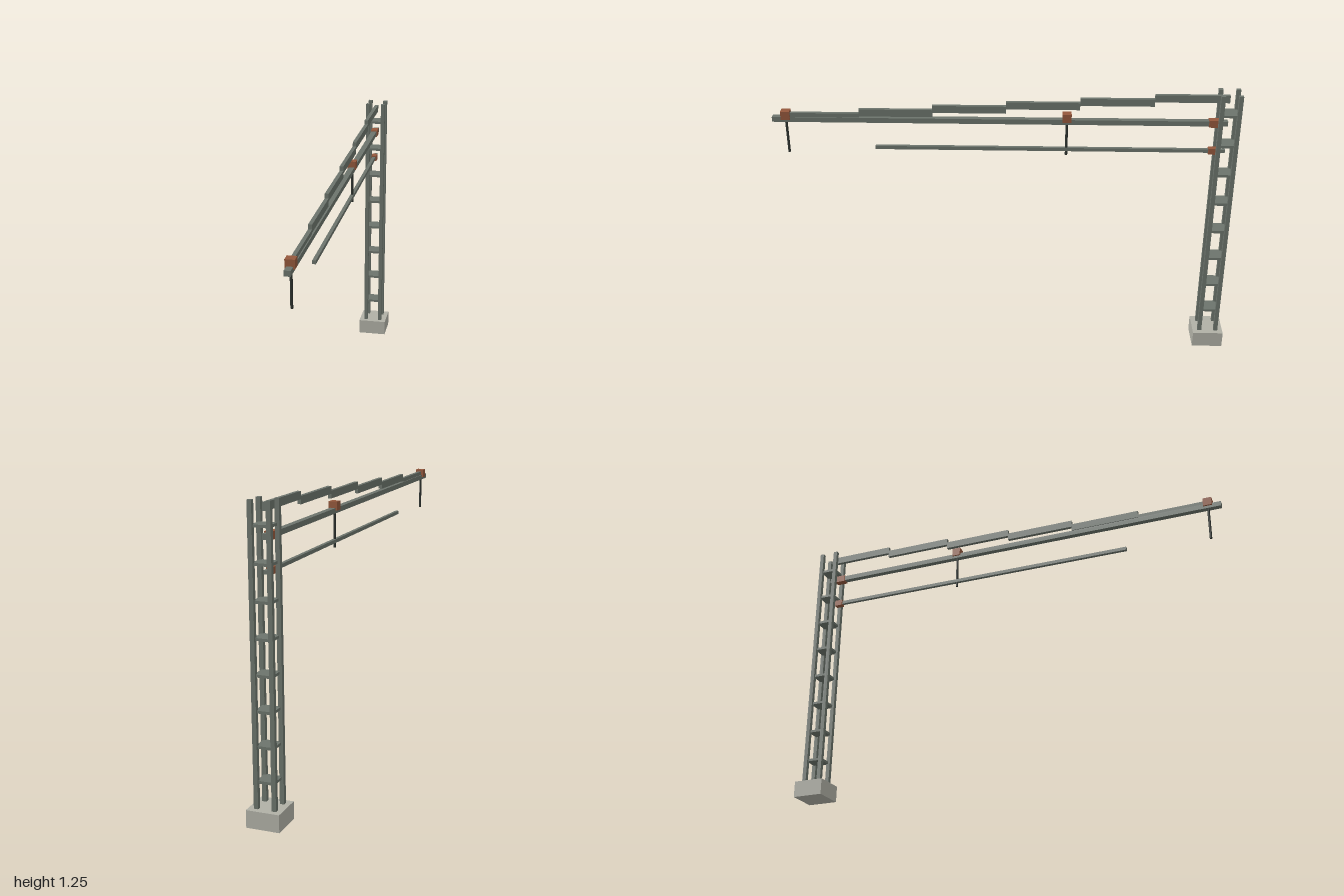
import * as THREE from 'three';

export function createModel() {
  const model = new THREE.Group();
  model.name = 'cantileverMast';
  const steel = new THREE.MeshStandardMaterial({ name: 'grey green steel', color: 0x6c746c });
  const concrete = new THREE.MeshStandardMaterial({ name: 'pale concrete', color: 0xb0b0a6 });
  const ceramic = new THREE.MeshStandardMaterial({ name: 'rust brown ceramic', color: 0x94583c });
  const dark = new THREE.MeshStandardMaterial({ name: 'dark iron', color: 0x2e332f });

  const add = (name, geometry, material, x, y, z) => {
    const mesh = new THREE.Mesh(geometry, material);
    mesh.name = name;
    mesh.position.set(x, y, z);
    model.add(mesh);
  };
  const box = (name, material, w, h, d, x, y, z) =>
    add(name, new THREE.BoxGeometry(w, h, d), material, x, y, z);
  // Beam running along z between two ends
  const beam = (name, w, y0, y1, z0, z1) =>
    box(name, steel, w, y1 - y0, z1 - z0, 0, (y0 + y1) / 2, (z0 + z1) / 2);

  // Footing and four-legged mast
  const mastZ = -0.931, back = -0.929;
  box('footing', concrete, 0.137, 0.072, 0.137, 0, 0.036, mastZ);
  for (const sx of [-1, 1]) for (const sz of [-1, 1]) {
    box('mastLeg', steel, 0.018, 1.176, 0.018, sx * 0.037, 0.659, mastZ + sz * 0.037);
  }
  // Plates tying the legs together
  for (let i = 0; i < 8; i++) {
    box('mastPlate', steel, 0.074, 0.011, 0.074, 0, 0.178 + i * 0.1392, mastZ);
  }

  // Long main arm and lower arm
  beam('mainArm', 0.025, 1.097, 1.119, back, 1);
  beam('lowerArm', 0.015, 0.971, 0.986, back, 0.567);

  // Upper tie, stepping down from the mast to the tip
  const step = (0.941 - back) / 6;
  for (let i = 0; i < 6; i++) {
    const top = 1.234 - i * 0.0195;
    beam('tieSegment', 0.016, top - 0.032, top, back + i * step, back + (i + 1) * step);
  }

  // Insulators where the arms meet the mast
  box('mainArmInsulator', ceramic, 0.031, 0.031, 0.05, 0, 1.108, -0.875);
  box('lowerArmInsulator', ceramic, 0.025, 0.027, 0.038, 0, 0.978, -0.877);

  // Hangers: insulator block with a drop rod
  for (const z of [0.942, -0.252]) {
    box('hangerInsulator', ceramic, 0.038, 0.037, 0.038, 0, 1.127, z);
    add('dropRod', new THREE.CylinderGeometry(0.0055, 0.0055, 0.158, 8), dark, 0, 1.03, z);
  }
  return model;
}
